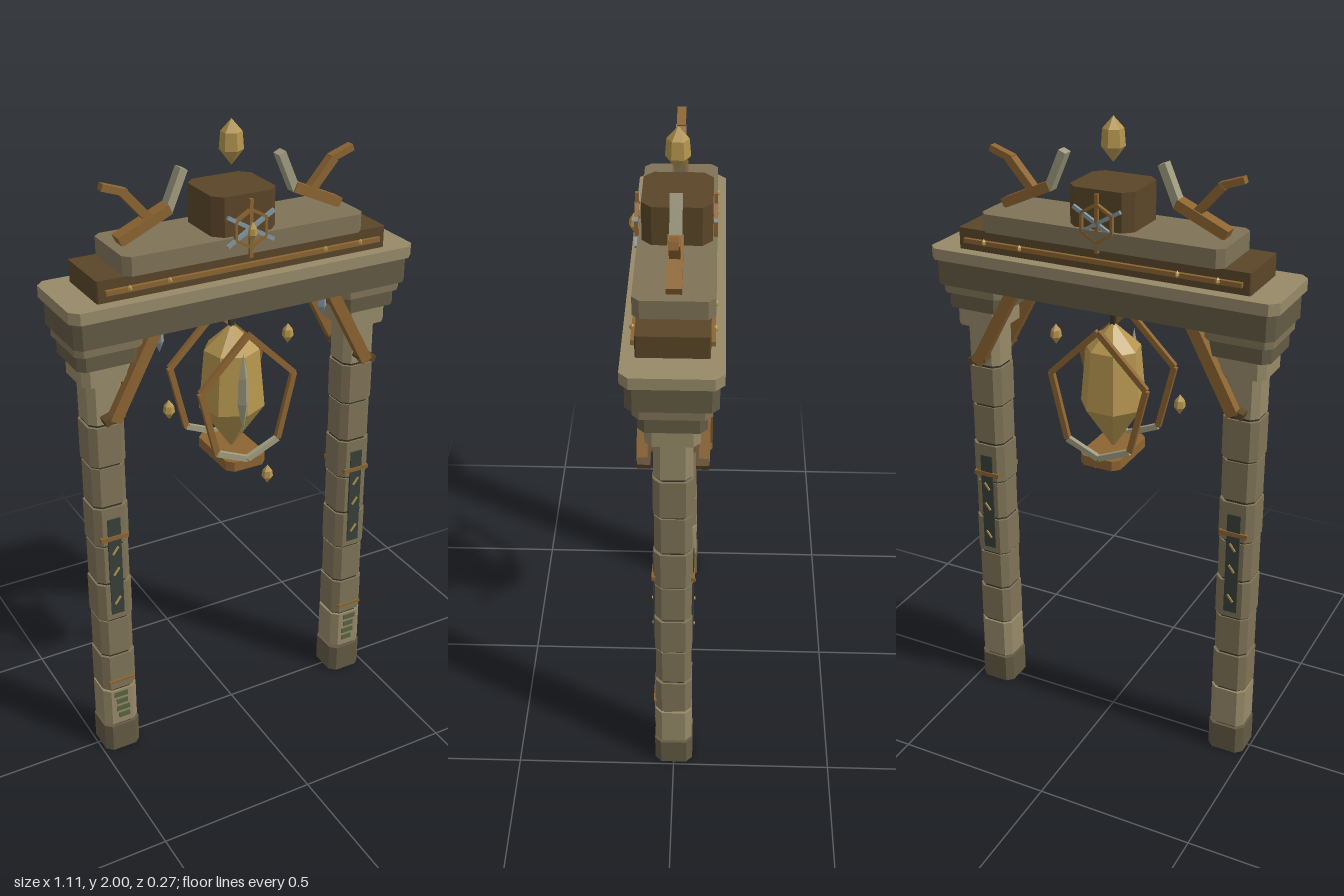
import * as THREE from 'three';

const mats = {};
const mat = (color) => (mats[color] ??= new THREE.MeshStandardMaterial({ color, flatShading: true }));
const STONE = 0x7f7357, PALE = 0x978a69, DARK = 0x625a43, JOINT = 0x383426, WOOD = 0x5a4528,
  BRONZE = 0x8c6431, GOLD = 0xb4954e, TEAL = 0x38403a, MOSS = 0x586443, ICE = 0x8496a0, SHARD = 0xa09c80;

function add(parent, name, geo, color, x = 0, y = 0, z = 0) {
  const m = new THREE.Mesh(geo, mat(color));
  m.name = name;
  m.position.set(x, y, z);
  parent.add(m);
  return m;
}

// Block with chamfered vertical edges, from y0 to y1; w and d are full sizes
function block(parent, name, color, w, d, y0, y1, c = 0.02, x = 0, z = 0) {
  const a = w / 2, b = d / 2;
  const pts = [[a - c, -b], [a, c - b], [a, b - c], [a - c, b], [c - a, b], [-a, b - c], [-a, c - b], [c - a, -b]];
  const s = new THREE.Shape(pts.map((p) => new THREE.Vector2(...p)));
  const g = new THREE.ExtrudeGeometry(s, { depth: y1 - y0, bevelEnabled: false }).rotateX(-Math.PI / 2);
  return add(parent, name, g, color, x, y0, z);
}

const box = (parent, name, color, w, h, d, x, y, z) =>
  add(parent, name, new THREE.BoxGeometry(w, h, d), color, x, y, z);

// Straight bar in a plane of constant z
function bar(parent, name, color, a, b, w, d, z) {
  const dx = b[0] - a[0], dy = b[1] - a[1];
  const m = box(parent, name, color, Math.hypot(dx, dy), w, d, (a[0] + b[0]) / 2, (a[1] + b[1]) / 2, z);
  m.rotation.z = Math.atan2(dy, dx);
  return m;
}

// Faceted crystal from a profile of [radius, y]
function crystal(parent, name, color, profile, x, y, z, sides = 6) {
  const pts = profile.map(([r, h]) => new THREE.Vector2(r, h));
  return add(parent, name, new THREE.LatheGeometry(pts, sides), color, x, y, z);
}
const gem = (parent, name, color, r, h, x, y, z, sides = 6) =>
  crystal(parent, name, color, [[0, -h / 2], [r, -h * 0.12], [r * 0.85, h * 0.2], [0, h / 2]], x, y, z, sides);

function pillar(side) {
  const g = new THREE.Group();
  g.name = side > 0 ? 'leftPillar' : 'rightPillar';
  block(g, 'pillarFoot', DARK, 0.12, 0.12, 0, 0.095);
  block(g, 'pillarCore', JOINT, 0.1, 0.1, 0.05, 1.35);
  block(g, 'footBlock', PALE, 0.114, 0.114, 0.103, 0.235);
  for (let i = 0; i < 8; i++) {
    const y = 0.244 + i * 0.1355, w = i % 2 ? 0.108 : 0.113;
    block(g, 'pillarBlock', i === 7 ? PALE : STONE, w, w, y, y + 0.127);
  }
  // Stepped capital
  block(g, 'capitalLower', PALE, 0.15, 0.15, 1.325, 1.39);
  block(g, 'capitalMiddle', DARK, 0.185, 0.185, 1.385, 1.437);
  block(g, 'capitalUpper', STONE, 0.205, 0.21, 1.435, 1.47);
  // Inlaid panels on front and back
  for (const f of [1, -1]) {
    box(g, 'inlayPanel', TEAL, 0.042, 0.34, 0.008, 0, 0.705, f * 0.056);
    box(g, 'inlayBand', BRONZE, 0.09, 0.014, 0.012, 0, 0.81, f * 0.057);
    for (const y of [0.585, 0.69, 0.765]) {
      bar(g, 'inlayMark', GOLD, [-0.009, y - 0.012], [0.009, y + 0.012], 0.006, 0.008, f * 0.06);
    }
  }
  // Mossy marks and trim at the foot of the front
  for (let i = 0; i < 4; i++) {
    box(g, 'mossMark', MOSS, 0.038 + (i % 2) * 0.008, 0.018, 0.006, side * (i - 1.5) * 0.003, 0.135 + i * 0.028, 0.057);
  }
  box(g, 'footTrim', BRONZE, 0.085, 0.008, 0.012, 0, 0.275, 0.056);
  g.position.x = side * 0.43;
  return g;
}

function roofBranch(side) {
  const g = new THREE.Group();
  g.name = side > 0 ? 'leftBranch' : 'rightBranch';
  const p = (x, y) => [side * x, y];
  bar(g, 'branchTrunk', BRONZE, p(0.355, 1.71), p(0.2, 1.78), 0.03, 0.042, 0);
  bar(g, 'branchInnerTip', SHARD, p(0.205, 1.77), p(0.155, 1.885), 0.024, 0.034, 0);
  bar(g, 'branchFork', BRONZE, p(0.26, 1.76), p(0.335, 1.845), 0.025, 0.03, 0);
  bar(g, 'branchOuterTip', BRONZE, p(0.325, 1.843), p(0.397, 1.868), 0.02, 0.026, 0);
  return g;
}

// Six-pointed star: crossing spokes and a hexagonal ring
function star(z) {
  const g = new THREE.Group();
  g.name = 'starEmblem';
  const at = (r, k) => [r * Math.sin(k * Math.PI / 3), r * Math.cos(k * Math.PI / 3)];
  for (let k = 0; k < 6; k++) {
    bar(g, 'starSpoke', k % 3 ? ICE : BRONZE, [0, 0], at(0.085, k), 0.011, 0.01, 0);
    bar(g, 'starRing', BRONZE, at(0.055, k), at(0.055, k + 1), 0.008, 0.012, 0);
  }
  g.position.set(0, 1.72, z);
  return g;
}

export function createModel() {
  const root = new THREE.Group();
  root.name = 'crystalGate';

  for (const s of [-1, 1]) {
    root.add(pillar(s), roofBranch(s));
    // Diagonal braces in front of and behind each pillar
    for (const f of [1, -1]) {
      bar(root, 'brace', BRONZE, [s * 0.285, 1.475], [s * 0.425, 1.215], 0.036, 0.03, f * 0.085);
      bar(root, 'braceCap', WOOD, [s * 0.455, 1.215], [s * 0.395, 1.235], 0.02, 0.036, f * 0.08);
    }
    gem(root, 'pendantShard', ICE, 0.015, 0.085, s * 0.27, 1.43, 0.07, 4);
  }

  // Lintel and stepped roof
  block(root, 'lintel', DARK, 1.08, 0.245, 1.465, 1.548, 0.02);
  block(root, 'corniceSlab', PALE, 1.106, 0.27, 1.545, 1.58, 0.025);
  block(root, 'roofLowerTier', WOOD, 0.925, 0.195, 1.58, 1.645, 0.004);
  block(root, 'roofUpperTier', STONE, 0.765, 0.218, 1.645, 1.7, 0.02);
  block(root, 'roofCrown', WOOD, 0.204, 0.194, 1.7, 1.815, 0.028);
  for (const f of [1, -1]) {
    box(root, 'roofTrim', BRONZE, 0.88, 0.014, 0.014, 0, 1.61, f * 0.102);
    for (const x of [-0.37, -0.25, 0.25, 0.37]) gem(root, 'trimStud', GOLD, 0.008, 0.024, x, 1.612, f * 0.108, 4);
  }
  root.add(star(0.112), star(-0.104));
  gem(root, 'starGem', GOLD, 0.014, 0.06, 0, 1.712, 0.122);
  crystal(root, 'finialCrystal', GOLD, [[0, 1.87], [0.035, 1.915], [0.031, 1.965], [0, 2]], 0, 0, 0);

  // Hanging crystal in two flat frames on a common base
  const lamp = new THREE.Group();
  lamp.name = 'hangingCrystal';
  root.add(lamp);
  box(lamp, 'hangingRod', JOINT, 0.014, 0.1, 0.014, 0, 1.425, 0);
  crystal(lamp, 'mainCrystal', GOLD, [[0, 0.98], [0.102, 1.13], [0.085, 1.315], [0, 1.395]], 0, 0, 0, 7);
  const path = [[0, 1.395], [0.157, 1.24], [0.105, 1.03], [0, 0.985]];
  for (const f of [1, -1]) {
    for (const s of [-1, 1]) {
      for (let i = 0; i < 3; i++) {
        const [a, b] = [path[i], path[i + 1]].map(([x, y]) => [s * x, y]);
        bar(lamp, 'frameBar', i === 2 ? SHARD : BRONZE, a, b, 0.018, 0.015, f * 0.1);
      }
    }
  }
  block(lamp, 'frameBase', BRONZE, 0.135, 0.215, 0.955, 0.987, 0.02);
  gem(lamp, 'frontShard', SHARD, 0.019, 0.26, -0.018, 1.21, 0.105, 4);

  // Small floating crystals
  for (const [x, y, z] of [[0.195, 1.32, 0], [-0.216, 1.165, 0.01], [0.095, 0.885, 0.06]]) {
    gem(root, 'floatingCrystal', GOLD, 0.018, 0.065, x, y, z);
  }
  return root;
}
